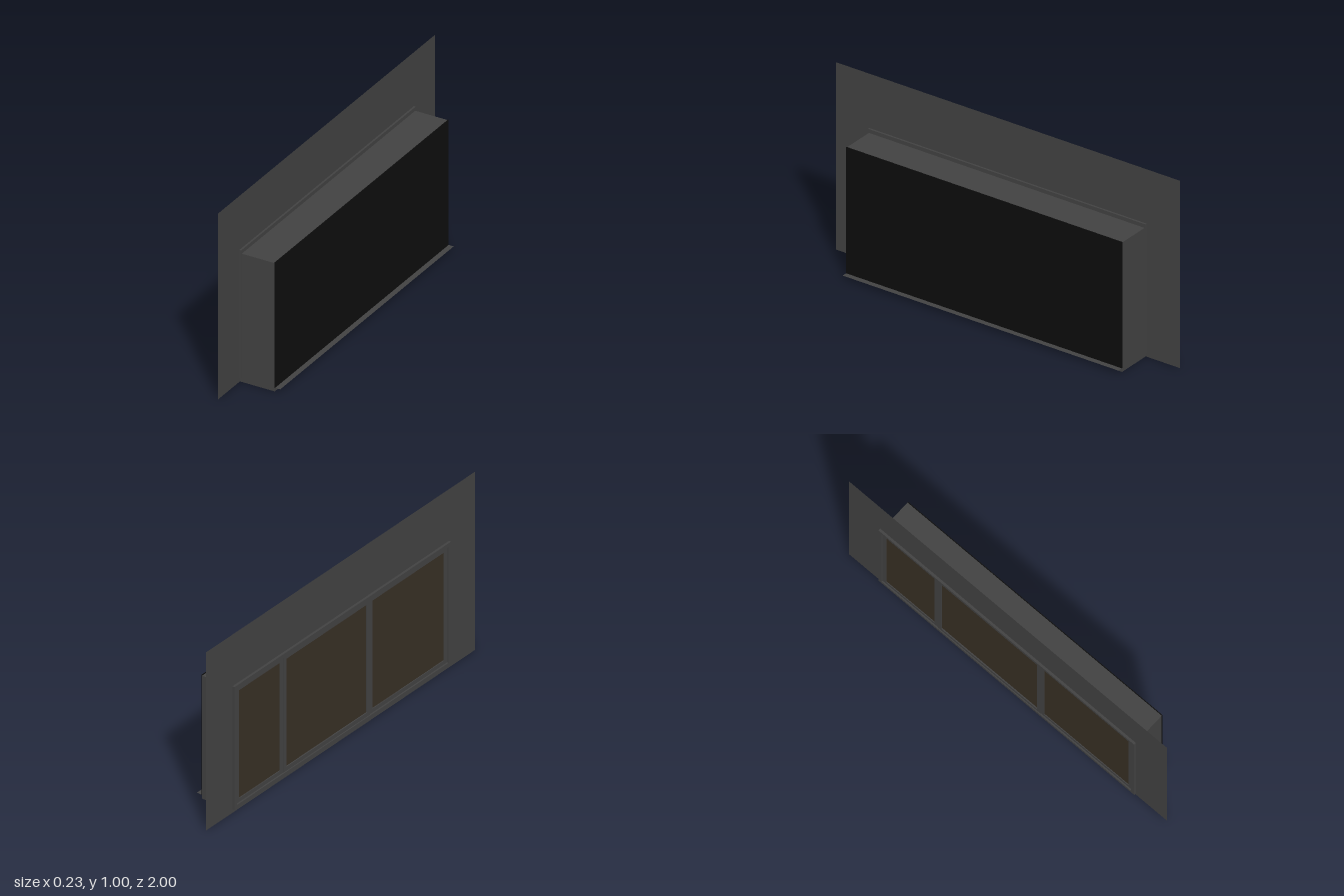
import * as THREE from 'three';

const mat = (color, side = THREE.FrontSide) => new THREE.MeshStandardMaterial({ color, side });
const frameMat = mat(0x424242);
const wallMat = mat(0x424242, THREE.DoubleSide);
const blackMat = mat(0x0d0d0d);
const paneMat = mat(0x372f24);

// Box given by its limits on each axis
function slab(parent, name, [x0, x1], [y0, y1], [z0, z1], material = frameMat) {
  const mesh = new THREE.Mesh(new THREE.BoxGeometry(x1 - x0, y1 - y0, z1 - z0), material);
  mesh.position.set((x0 + x1) / 2, (y0 + y1) / 2, (z0 + z1) / 2);
  mesh.name = name;
  parent.add(mesh);
  return mesh;
}

// Rectangular frame in the yz plane
function frame(parent, name, x, [y0, y1], [z0, z1], w) {
  const group = new THREE.Group();
  group.name = name;
  slab(group, 'bottomRail', x, [y0, y0 + w], [z0, z1]);
  slab(group, 'topRail', x, [y1 - w, y1], [z0, z1]);
  slab(group, 'stile', x, [y0 + w, y1 - w], [z0, z0 + w]);
  slab(group, 'stile', x, [y0 + w, y1 - w], [z1 - w, z1]);
  parent.add(group);
  return group;
}

function rect(shape, x0, y0, x1, y1) {
  return shape.moveTo(x0, y0).lineTo(x1, y0).lineTo(x1, y1).lineTo(x0, y1).closePath();
}

export function createModel() {
  const model = new THREE.Group();
  model.name = 'wallWindow';

  // Paper-thin wall with the window opening
  const outline = rect(new THREE.Shape(), -1, 0, 1, 1);
  outline.holes.push(rect(new THREE.Path(), -0.79, 0.03, 0.79, 0.685));
  const wall = new THREE.Mesh(new THREE.ShapeGeometry(outline), wallMat);
  wall.rotation.y = Math.PI / 2;
  wall.position.x = -0.105;
  wall.name = 'wall';
  model.add(wall);

  // Deep casing behind the wall
  const casing = new THREE.Group();
  casing.name = 'casing';
  slab(casing, 'casingFloor', [-0.104, 0.085], [0, 0.02], [-0.8, 0.8]);
  slab(casing, 'casingTop', [-0.104, 0.085], [0.675, 0.69], [-0.8, 0.8]);
  for (const s of [-1, 1]) {
    const z = [s * 0.8, s * 0.785].sort((a, b) => a - b);
    slab(casing, 'casingSide', [-0.104, 0.085], [0.02, 0.675], z);
  }
  model.add(casing);

  // Three dark panels with narrow seams
  for (let i = -1; i <= 1; i++) {
    const c = i * 0.5345;
    slab(model, 'darkPanel', [0.083, 0.087], [0.02, 0.693], [c - 0.2662, c + 0.2662], blackMat);
  }

  // Thin projecting sill
  const sill = new THREE.Mesh(new THREE.PlaneGeometry(0.03, 1.6), wallMat);
  sill.rotation.x = -Math.PI / 2;
  sill.position.set(0.1, 0.02, 0);
  sill.name = 'sill';
  model.add(sill);

  // Trim around the opening
  frame(model, 'trim', [-0.117, -0.095], [0.02, 0.71], [-0.805, 0.805], 0.02);

  // Sliding sashes on staggered tracks
  const sashes = [[-0.785, -0.435, -0.11], [-0.435, 0.21, -0.112], [0.21, 0.785, -0.11]];
  for (const [z0, z1, x] of sashes) {
    frame(model, 'sashFrame', [x, -0.096], [0.04, 0.69], [z0, z1], 0.022);
    slab(model, 'windowPane', [-0.106, -0.1], [0.05, 0.68], [z0 + 0.01, z1 - 0.01], paneMat);
  }

  return model;
}
